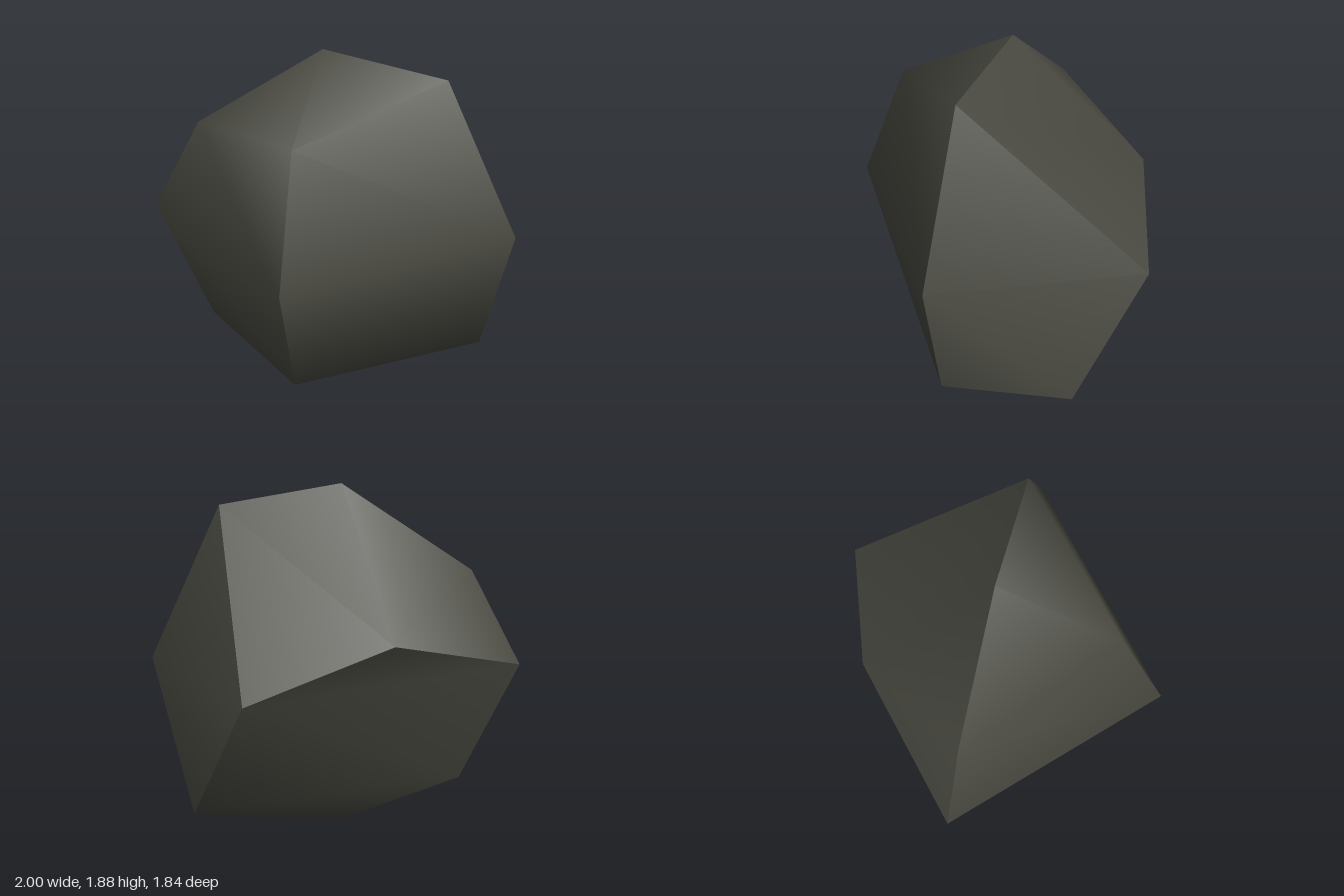
import * as THREE from 'three';

const RADIUS = 0.92;
const SEGMENTS = 4;

// Corners pulled away from the plain ball: [ring from top, column], position.
// Columns run -x, +z, +x, -z.
const MOVED = {
  '1,0': [-0.73, 1.43, 0],
  '1,2': [0.61, 1.76, 0],
  '1,3': [-0.35, 1.16, -0.63],
  '2,0': [-1, 0.92, 0],
  '2,2': [1, 0.92, 0],
  '2,3': [0.36, 0.92, -0.92],
  '3,2': [0.84, 0.27, 0],
  '3,3': [0.66, 0.27, -0.65],
};

// Smooth normals that break only along edges sharper than the limit.
function smoothWithSharpEdges(source, limitDegrees) {
  const geometry = source.toNonIndexed();
  geometry.deleteAttribute('uv');
  const pos = geometry.attributes.position;
  const limit = Math.cos(THREE.MathUtils.degToRad(limitDegrees));
  const corners = new Map();
  const faces = [];

  for (let f = 0; f < pos.count / 3; f++) {
    const p = [0, 1, 2].map((i) => new THREE.Vector3().fromBufferAttribute(pos, f * 3 + i));
    const keys = p.map((v) => v.toArray().map((n) => Math.round(n * 1000)).join());
    const normal = new THREE.Triangle(...p).getNormal(new THREE.Vector3());
    faces.push({ keys, normal });
    p.forEach((v, i) => {
      const a = p[(i + 1) % 3].clone().sub(v);
      const b = p[(i + 2) % 3].clone().sub(v);
      if (!corners.has(keys[i])) corners.set(keys[i], []);
      corners.get(keys[i]).push({ f, index: f * 3 + i, weight: a.angleTo(b) });
    });
  }

  const joined = (a, b) =>
    faces[a].keys.filter((k) => faces[b].keys.includes(k)).length === 2 &&
    faces[a].normal.dot(faces[b].normal) > limit;

  const normals = new THREE.Float32BufferAttribute(pos.count * 3, 3);
  for (const list of corners.values()) {
    for (const start of list) {
      // Collect the faces reachable around this corner without a sharp edge
      const fan = [start];
      for (let i = 0; i < fan.length; i++) {
        for (const other of list) {
          if (!fan.includes(other) && joined(fan[i].f, other.f)) fan.push(other);
        }
      }
      const n = new THREE.Vector3();
      fan.forEach((c) => n.addScaledVector(faces[c.f].normal, c.weight));
      n.normalize();
      normals.setXYZ(start.index, n.x, n.y, n.z);
    }
  }
  geometry.setAttribute('normal', normals);
  return geometry;
}

export function createModel() {
  const group = new THREE.Group();
  group.name = 'boulder';

  const stone = new THREE.MeshStandardMaterial({ color: 0x4a4a42 });
  stone.name = 'dark stone';

  // Coarse ball with several corners knocked out of place
  const ball = new THREE.SphereGeometry(RADIUS, SEGMENTS, SEGMENTS);
  ball.translate(-0.04, RADIUS, 0);
  const pos = ball.attributes.position;
  for (let ring = 1; ring < SEGMENTS; ring++) {
    for (let col = 0; col <= SEGMENTS; col++) {
      const moved = MOVED[`${ring},${col % SEGMENTS}`];
      if (moved) pos.setXYZ(ring * (SEGMENTS + 1) + col, ...moved);
    }
  }
  // Pole copies share one point
  for (let col = 0; col <= SEGMENTS; col++) {
    pos.setXYZ(col, -0.04, 1.88, 0);
    pos.setXYZ(SEGMENTS * (SEGMENTS + 1) + col, -0.04, 0, 0);
  }

  const rock = new THREE.Mesh(smoothWithSharpEdges(ball, 50), stone);
  rock.name = 'rock';
  group.add(rock);
  return group;
}
